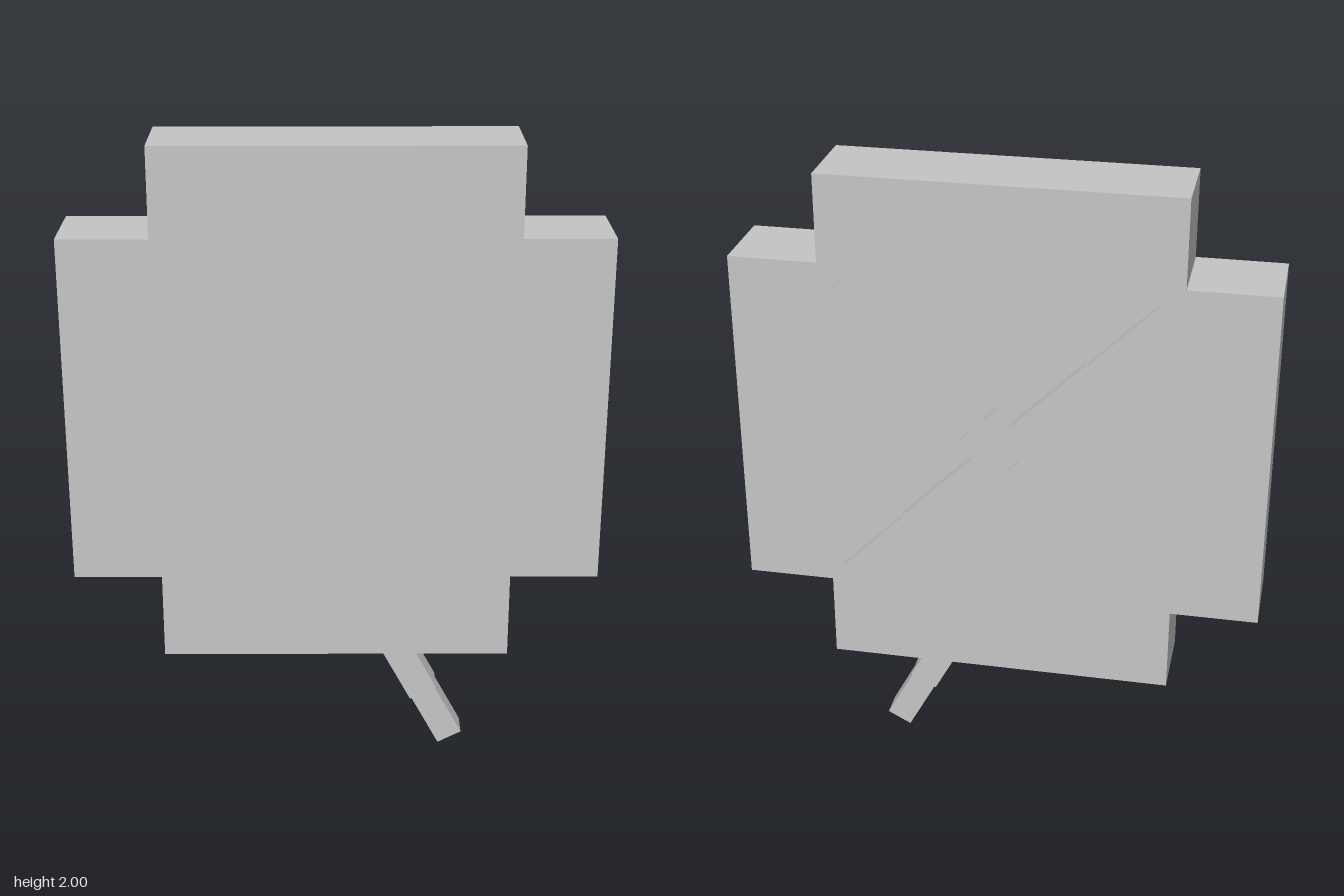
import * as THREE from 'three';

export function createModel() {
  const model = new THREE.Group();
  const grey = new THREE.MeshStandardMaterial({ color: 0xc6c6c6 });
  grey.name = 'plain grey';

  const add = (name, geometry, x, y, z, angle = 0) => {
    const mesh = new THREE.Mesh(geometry, grey);
    mesh.name = name;
    mesh.position.set(x, y, z);
    mesh.rotation.z = angle;
    model.add(mesh);
    return mesh;
  };

  const midY = 1.18, backZ = -0.11, frontZ = 0.15;

  // Thick slab with a square notch at each corner
  const a = 0.82, b = 0.546;
  const outline = new THREE.Shape([
    [b, a], [-b, a], [-b, b], [-a, b], [-a, -b], [-b, -b],
    [-b, -a], [b, -a], [b, -b], [a, -b], [a, b], [b, b],
  ].map(([x, y]) => new THREE.Vector2(x, y)));
  const slab = new THREE.ExtrudeGeometry(outline, { depth: frontZ - backZ, bevelEnabled: false });
  add('panel', slab, 0, midY, backZ);

  // Box sitting on the back of the slab, `out` units proud of it
  const backBox = (name, length, width, out, distance, angle) => add(
    name, new THREE.BoxGeometry(length, width, out),
    distance * Math.cos(angle), midY + distance * Math.sin(angle), backZ - out / 2, angle);

  // Central hub and four two-stage diagonal arms
  backBox('hub', 0.18, 0.18, 0.025, 0, Math.PI / 4);
  for (let i = 0; i < 4; i++) {
    const angle = Math.PI / 4 + i * Math.PI / 2;
    backBox('innerArm', 0.325, 0.05, 0.042, 0.237, angle);
    backBox('outerArm', 0.303, 0.036, 0.032, 0.537, angle);
  }

  // Slanted two-stage handle under the slab
  const tilt = THREE.MathUtils.degToRad(28);
  const handlePart = (name, start, end, width) => {
    const t = (start + end) / 2;
    add(name, new THREE.BoxGeometry(width, end - start, width),
      0.372 - t * Math.sin(tilt), 0.02 + t * Math.cos(tilt), 0.053, tilt);
  };
  handlePart('handleTip', 0, 0.2, 0.085);
  handlePart('handleSleeve', 0.19, 0.46, 0.094);

  return model;
}
